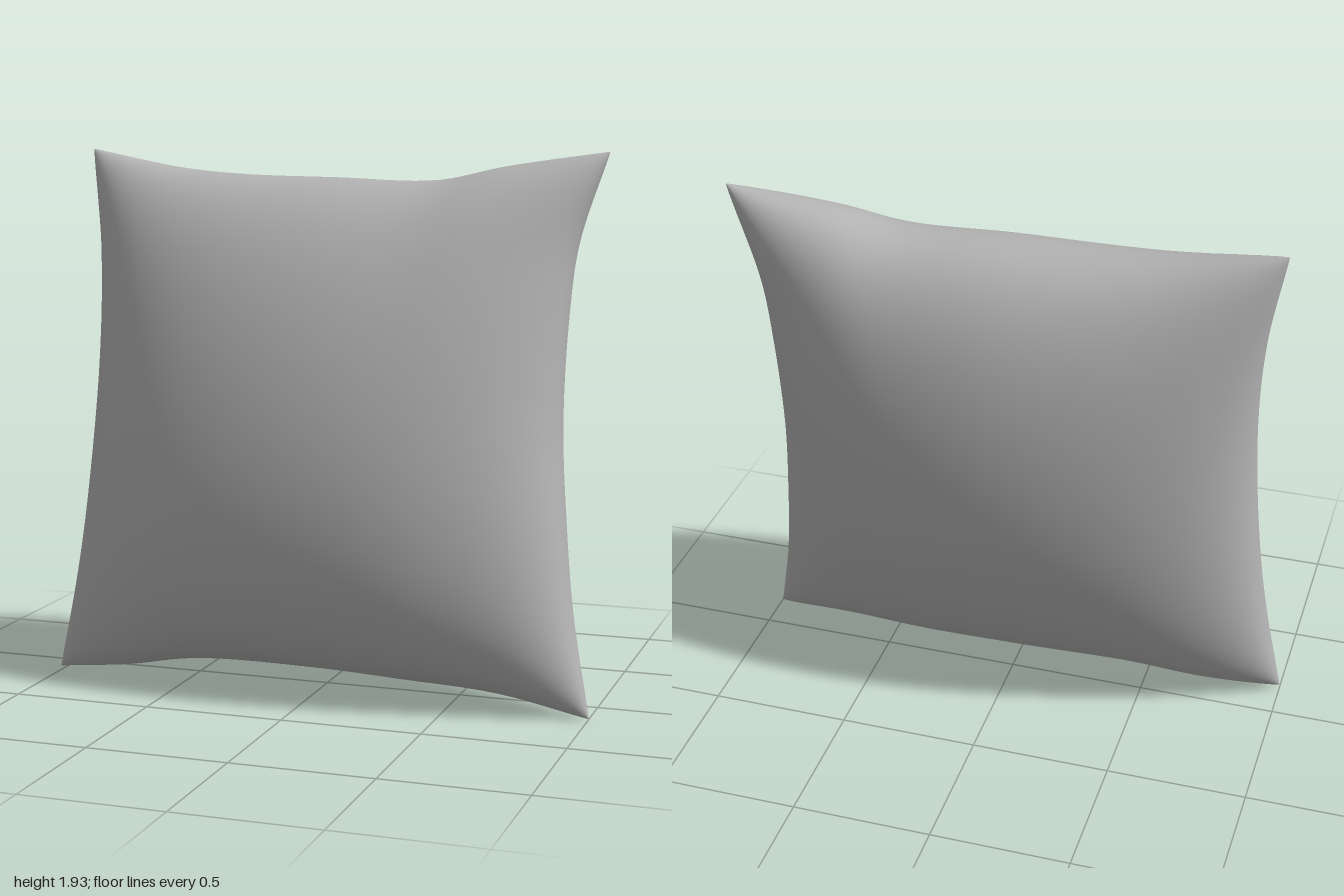
import * as THREE from 'three';
import { mergeVertices } from 'three/addons/utils/BufferGeometryUtils.js';

const N = 64; // grid divisions per side
const PUFF = 0.41; // half thickness at the middle

// Seam edge through a few [x, y] points
const edge = (pts) => new THREE.CatmullRomCurve3(pts.map(([x, y]) => new THREE.Vector3(x, y, 0)));

const BL = [-1, 0.015], BR = [1, 0], TL = [-0.96, 1.925], TR = [0.98, 1.93];
const bottom = edge([BL, [-0.72, 0.045], [-0.45, 0.09], [0, 0.095], [0.35, 0.08], [0.68, 0.06], BR]);
const top = edge([TL, [-0.6, 1.86], [-0.35, 1.838], [0, 1.83], [0.38, 1.825], [0.62, 1.875], TR]);
const left = edge([BL, [-0.94, 0.33], [-0.9, 0.65], [-0.875, 1.15], [-0.895, 1.55], TL]);
const right = edge([BR, [0.925, 0.35], [0.885, 0.65], [0.855, 1.0], [0.86, 1.38], [0.885, 1.62], TR]);

// Samples crowd towards the seams so the rim stays round
const params = Array.from({ length: N + 1 }, (_, i) => (1 - Math.cos((Math.PI * i) / N)) / 2);
const sample = (curve) => params.map((t) => curve.getPointAt(t));

function cushionGeometry() {
  const [B, T, L, R] = [bottom, top, left, right].map(sample);
  const positions = [];
  const indices = [];
  for (const side of [1, -1]) {
    const base = positions.length / 3;
    for (let j = 0; j <= N; j++) {
      for (let i = 0; i <= N; i++) {
        const s = params[i], t = params[j];
        // Blend the four seams into a sheet
        const blend = (k, axis) =>
          (1 - t) * B[i][axis] + t * T[i][axis] + (1 - s) * L[j][axis] + s * R[j][axis] -
          ((1 - s) * (1 - t) * BL[k] + s * (1 - t) * BR[k] + (1 - s) * t * TL[k] + s * t * TR[k]);
        const x = blend(0, 'x'), y = blend(1, 'y');
        // Puff the sheet along the normal of its backward lean
        const swell = Math.sin((Math.PI * i) / N) * Math.sin((Math.PI * j) / N);
        const h = side * PUFF * Math.pow(Math.max(swell, 0), 0.92);
        positions.push(x, y + 0.14 * h, 0.15 - 0.146 * y + 0.99 * h);
      }
    }
    for (let j = 0; j < N; j++) {
      for (let i = 0; i < N; i++) {
        const a = base + j * (N + 1) + i, b = a + 1, c = b + N + 1, d = a + N + 1;
        if (side > 0) indices.push(a, b, c, a, c, d);
        else indices.push(a, c, b, a, d, c);
      }
    }
  }
  const raw = new THREE.BufferGeometry();
  raw.setAttribute('position', new THREE.Float32BufferAttribute(positions, 3));
  raw.setIndex(indices);
  // Weld both faces along the seam for smooth shading
  const geometry = mergeVertices(raw, 1e-5);
  geometry.computeVertexNormals();
  return geometry;
}

export function createModel() {
  const group = new THREE.Group();
  group.name = 'pillow';
  const fabric = new THREE.MeshStandardMaterial({ color: 0xb4b4b4 });
  fabric.name = 'grey fabric';
  const cushion = new THREE.Mesh(cushionGeometry(), fabric);
  cushion.name = 'cushion';
  group.add(cushion);
  return group;
}
